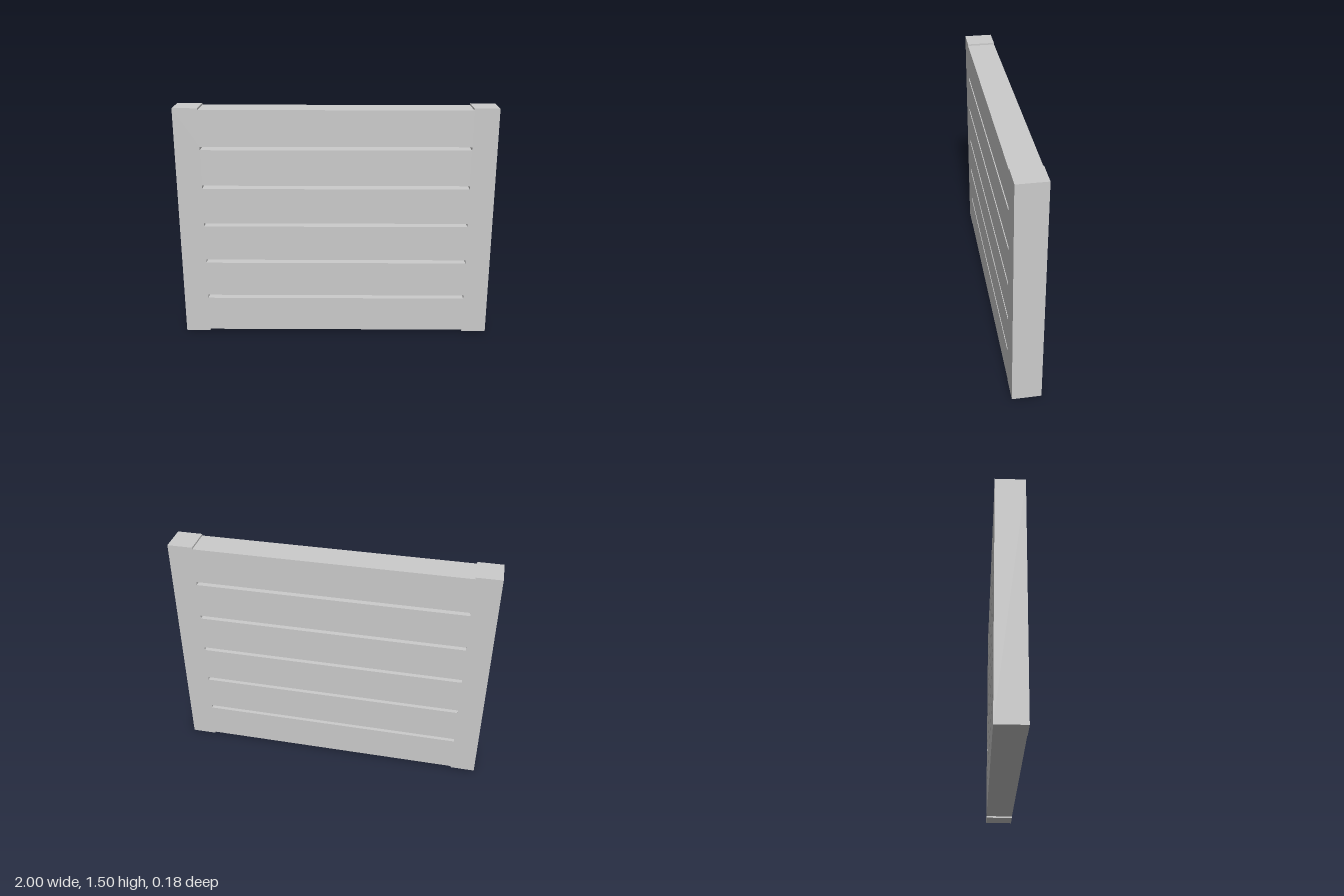
import * as THREE from 'three';

const W = 1, H = 1.505, D = 0.18;      // half width, height, depth
const INNER = 0.843;                   // inner edge of the side posts
const SLATS = 6, PITCH = H / SLATS, GAP = 0.022;

export function createModel() {
  const group = new THREE.Group();
  group.name = 'slattedPanel';

  // Outline: the posts stand half a gap proud of the slats at top and bottom
  const step = GAP / 2;
  const outline = new THREE.Shape([
    [-W, 0], [-INNER, 0], [-INNER, step], [INNER, step], [INNER, 0], [W, 0],
    [W, H], [INNER, H], [INNER, H - step], [-INNER, H - step], [-INNER, H], [-W, H],
  ].map(([x, y]) => new THREE.Vector2(x, y)));

  // Narrow slots between neighbouring slats
  for (let i = 1; i < SLATS; i++) {
    const low = i * PITCH - step, high = i * PITCH + step;
    outline.holes.push(new THREE.Path([
      new THREE.Vector2(-INNER, low), new THREE.Vector2(-INNER, high),
      new THREE.Vector2(INNER, high), new THREE.Vector2(INNER, low),
    ]));
  }

  // Posts and slats form one solid panel
  const geometry = new THREE.ExtrudeGeometry(outline, { depth: D, bevelEnabled: false });
  geometry.translate(0, 0, -D / 2);
  const panel = new THREE.Mesh(geometry, new THREE.MeshStandardMaterial({ color: 0xcccccc }));
  panel.name = 'postsAndSlats';
  group.add(panel);
  return group;
}
